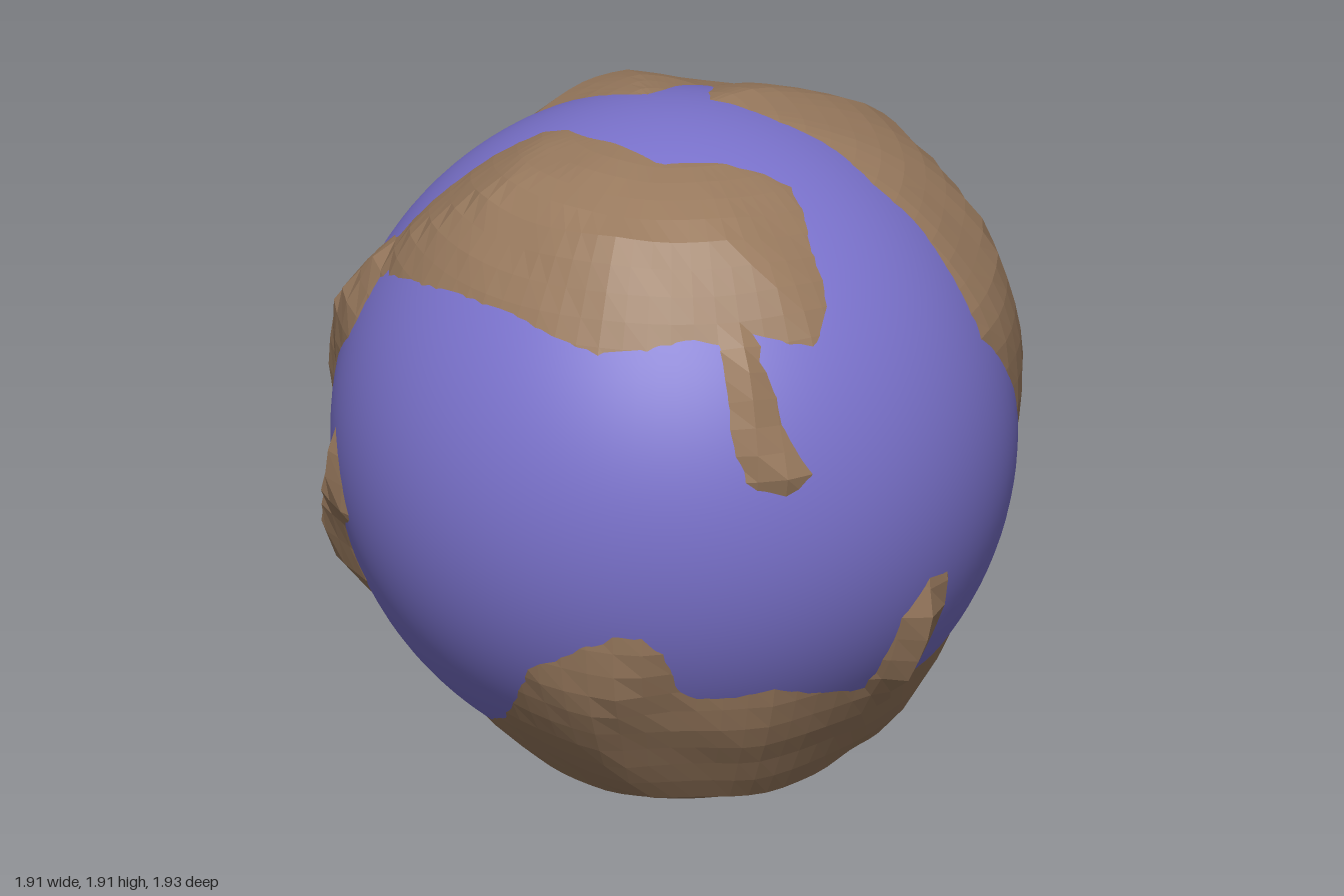
import * as THREE from 'three';

const R = 0.955;

// Coastline corners as longitude, latitude in degrees (longitude 0 faces +z).
// rise = how steeply the land climbs away from its coast.
const continents = {
  back: { rise: 0.2, coast: [
    -153, 64, -110, 80, -90, 58, -103, 32, -111, -6, -101, -40, -90, -84, -157, -40,
    -177, -3, 163, 16, 150, 0, 132, -2, 115, 23, 120, 52, 180, 82] },
  north: { rise: 0.17, coast: [
    -51, 34, -51, 52, -55, 69, 33, 73, 65, 73, 90, 62, 77, 41, 71, 34,
    53, 38, 25, 34, -15, 38, -42, 32] },
  west: { rise: 0.35, coast: [
    -44, 35, -44, 20, -57, 8, -63, -10, -52, -7, -38, 6, -33, -10, -42, -15,
    -34, -22, -47, -33, -80, -28, -78, 13, -63, 28, -53, 37] },
  south: { rise: 0.22, coast: [
    -32, -54, 13, -24, 32, -13, 39, -17, 41, -29, 61, -28, 78, -33,
    115, -35, 144, -31, 164, -42, 167, -64, 100, -72, -30, -67] },
  east: { rise: 0.55, coast: [83, -38, 84, -19, 93, -7, 97, -17, 95, -38] },
  peninsula: { rise: 0.5, coast: [50, 38, 57, 38, 61, 20, 66, 14, 61, 10, 52, 12] },
};

const direction = (lon, lat) =>
  new THREE.Vector3().setFromSphericalCoords(1, THREE.MathUtils.degToRad(90 - lat), THREE.MathUtils.degToRad(lon));

// Flatten the sphere around each continent, keeping distances from its middle true
function prepare({ rise, coast }) {
  const dirs = [];
  for (let i = 0; i < coast.length; i += 2) dirs.push(direction(coast[i], coast[i + 1]));
  const mid = dirs.reduce((sum, d) => sum.add(d), new THREE.Vector3()).normalize();
  const toFlat = new THREE.Quaternion().setFromUnitVectors(mid, new THREE.Vector3(0, 0, 1));
  const flatten = (d) => {
    const q = d.clone().applyQuaternion(toFlat);
    const angle = Math.acos(THREE.MathUtils.clamp(q.z, -1, 1));
    return new THREE.Vector2(q.x, q.y).setLength(angle);
  };
  return { rise, flatten, outline: dirs.map(flatten) };
}

// Distance to the coast: positive on land, negative at sea
function coastDistance(p, outline) {
  let inside = false, best = Infinity;
  outline.forEach((a, i) => {
    const b = outline[(i + 1) % outline.length];
    const ab = b.clone().sub(a);
    const t = THREE.MathUtils.clamp(p.clone().sub(a).dot(ab) / ab.lengthSq(), 0, 1);
    best = Math.min(best, p.distanceTo(a.clone().addScaledVector(ab, t)));
    if ((a.y > p.y) !== (b.y > p.y) && p.x < a.x + (ab.x * (p.y - a.y)) / ab.y) inside = !inside;
  });
  return inside ? best : -best;
}

// Gentle repeatable unevenness
const ripple = (d, f) =>
  Math.sin(f * (d.x + 0.4 * d.y)) * Math.sin(f * (d.y - 0.5 * d.z)) * Math.cos(f * (d.z + 0.3 * d.x));

export function createModel() {
  const planet = new THREE.Group();
  planet.name = 'planet';

  // Smooth water
  const ocean = new THREE.Mesh(
    new THREE.SphereGeometry(R, 96, 64),
    new THREE.MeshStandardMaterial({ color: 0x7a72cc }),
  );
  ocean.name = 'ocean';

  // Faceted ground: sinks under the water at sea, rises above it on land
  const lands = Object.values(continents).map(prepare);
  const ground = new THREE.SphereGeometry(1, 72, 40);
  const pos = ground.attributes.position;
  const d = new THREE.Vector3();
  for (let i = 0; i < pos.count; i++) {
    d.fromBufferAttribute(pos, i).normalize();
    let h = -0.06;
    for (const { rise, flatten, outline } of lands) {
      const dist = coastDistance(flatten(d), outline) + 0.015 * ripple(d, 19);
      h = Math.max(h, Math.min(dist * rise, 0.105));
    }
    if (h > 0) h *= 1 + 0.3 * ripple(d, 9);
    d.multiplyScalar(R + h);
    pos.setXYZ(i, d.x, d.y, d.z);
  }
  ground.computeVertexNormals();
  const land = new THREE.Mesh(ground, new THREE.MeshStandardMaterial({ color: 0x997a5e, flatShading: true }));
  land.name = 'land';

  planet.add(ocean, land);
  planet.children.forEach((m) => m.position.set(0, 0.97, 0.04));
  return planet;
}
